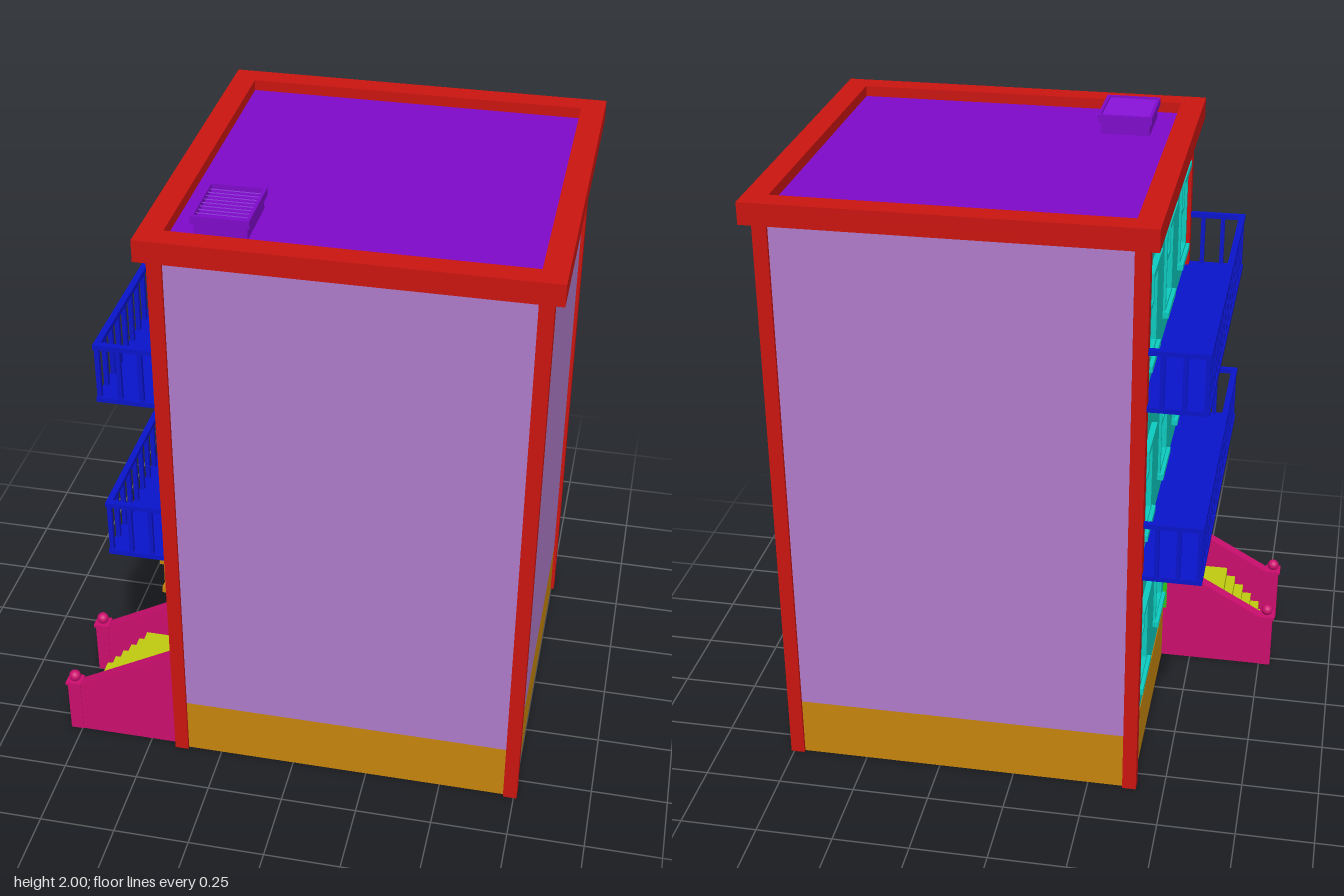
import * as THREE from 'three';

const mat = (color) => new THREE.MeshStandardMaterial({ color, side: THREE.DoubleSide });
const M = {
  wall: mat(0xb07ccc), red: mat(0xcc1510), base: mat(0xc8860c), blue: mat(0x0a14cc), roof: mat(0x800acc),
  pink: mat(0xcc0e6e), step: mat(0xc0cc10), door: mat(0x28cc10), facade: mat(0x0cccc0),
};

function add(parent, name, geo, material, x = 0, y = 0, z = 0) {
  const m = new THREE.Mesh(geo, material);
  m.name = name;
  m.position.set(x, y, z);
  parent.add(m);
  return m;
}

// Box given by its limits on each axis
function box(parent, name, material, [x0, x1], [y0, y1], [z0, z1]) {
  return add(parent, name, new THREE.BoxGeometry(x1 - x0, y1 - y0, z1 - z0), material,
    (x0 + x1) / 2, (y0 + y1) / 2, (z0 + z1) / 2);
}

function rect(Type, x0, x1, y0, y1) {
  return new Type([[x0, y0], [x1, y0], [x1, y1], [x0, y1]].map(([x, y]) => new THREE.Vector2(x, y)));
}

function group(parent, name) {
  const g = new THREE.Group();
  g.name = name;
  parent.add(g);
  return g;
}

// Flat frame: a rectangle with an inner rectangle cut out
function frame(parent, name, material, [x0, x1], [y0, y1], t, z, depth) {
  const s = rect(THREE.Shape, x0, x1, y0, y1);
  s.holes.push(rect(THREE.Path, x0 + t, x1 - t, y0 + t, y1 - t));
  return add(parent, name, new THREE.ExtrudeGeometry(s, { depth, bevelEnabled: false }), material, 0, 0, z);
}

// Sash window with head and sill, around u, v on the street wall
function addWindow(parent, u, v) {
  const g = group(parent, 'window');
  g.position.set(u, v, 0);
  frame(g, 'windowFrame', M.facade, [-0.09, 0.09], [-0.145, 0.145], 0.018, -0.015, 0.023);
  frame(g, 'upperSash', M.facade, [-0.072, 0.072], [-0.005, 0.127], 0.014, -0.01, 0.01);
  frame(g, 'lowerSash', M.facade, [-0.072, 0.072], [-0.127, 0.009], 0.014, -0.018, 0.01);
  add(g, 'pane', new THREE.PlaneGeometry(0.144, 0.254), M.facade, 0, 0, -0.014);
  box(g, 'windowHead', M.facade, [-0.1, 0.1], [0.138, 0.158], [0, 0.018]);
  box(g, 'windowSill', M.facade, [-0.1, 0.1], [-0.158, -0.138], [0, 0.02]);
}

function addBalcony(parent, y) {
  const g = group(parent, 'balcony');
  g.position.y = y;
  const W = 0.577, D = 0.2, t = 0.014;
  box(g, 'balconyFloor', M.blue, [-W, W], [0, 0.016], [0, D]);
  box(g, 'frontRail', M.blue, [-W, W], [0.184, 0.2], [D - 0.02, D]);
  for (const s of [-1, 1]) {
    const x = s * (W - 0.01);
    box(g, 'sideRail', M.blue, [x - 0.01, x + 0.01], [0.184, 0.2], [0, D - 0.02]);
    for (const z of [0.058, 0.125])
      box(g, 'sideBaluster', M.blue, [x - t / 2, x + t / 2], [0.016, 0.184], [z - t / 2, z + t / 2]);
  }
  for (let i = 0; i <= 17; i++) {
    const x = (W - 0.01) * (i / 8.5 - 1);
    box(g, 'frontBaluster', M.blue, [x - t / 2, x + t / 2], [0.016, 0.184], [D - 0.01 - t / 2, D - 0.01 + t / 2]);
  }
}

function addStairs(parent) {
  const g = group(parent, 'stairs');
  const u = [0.25, 0.52], n = 6, rise = 0.2 / n, run = 0.031, front = 0.36;
  for (let i = 0; i < n; i++) {
    const z = front - i * run, y = (i + 1) * rise;
    box(g, 'riser', M.step, u, [y - rise, y], [z - 0.006, z]);
    box(g, i < n - 1 ? 'tread' : 'landing', M.step, u, [y - 0.006, y], [i < n - 1 ? z - run : 0, z]);
  }
  // Sloping side walls with newel caps and balls
  const side = new THREE.Shape([[0, 0], [0.392, 0], [0.392, 0.2], [0.345, 0.2], [0.015, 0.385], [0, 0.385]]
    .map(([a, b]) => new THREE.Vector2(a, b)));
  for (const c of [0.23, 0.54]) {
    const wall = add(g, 'stairSideWall', new THREE.ExtrudeGeometry(side, { depth: 0.04, bevelEnabled: false }), M.pink, c + 0.02);
    wall.rotation.y = -Math.PI / 2;
    wall.position.x = c + 0.02;
    box(g, 'newelPost', M.pink, [c - 0.022, c + 0.022], [0, 0.193], [0.35, 0.394]);
    box(g, 'newelCap', M.pink, [c - 0.026, c + 0.026], [0.193, 0.203], [0.347, 0.4]);
    add(g, 'newelBall', new THREE.SphereGeometry(0.02, 16, 12), M.pink, c, 0.22, 0.373);
  }
}

function addDoor(parent) {
  const g = group(parent, 'entrance');
  const mid = 0.385;
  frame(g, 'doorFrame', M.door, [0.24, 0.53], [0.2, 0.665], 0.03, -0.02, 0.035);
  box(g, 'doorLeaf', M.door, [0.27, 0.5], [0.2, 0.635], [-0.025, -0.012]);
  for (const [y0, y1] of [[0.23, 0.345], [0.37, 0.485], [0.51, 0.615]])
    for (const z of [-0.03, -0.012])
      frame(g, 'doorPanel', M.door, [mid - 0.085, mid + 0.085], [y0, y1], 0.014, z, 0.007);
  add(g, 'doorKnob', new THREE.SphereGeometry(0.01, 12, 8), M.door, 0.483, 0.425, 0);
  for (const c of [0.225, 0.545])
    box(g, 'doorPilaster', M.door, [c - 0.015, c + 0.015], [0.2, 0.66], [0, 0.015]);
  // Entablature over the door
  box(g, 'doorHead', M.base, [0.21, 0.56], [0.68, 0.775], [0, 0.025]);
  box(g, 'doorHeadMoulding', M.base, [0.205, 0.565], [0.66, 0.68], [0, 0.033]);
  box(g, 'doorCornice', M.base, [0.205, 0.565], [0.775, 0.798], [0, 0.036]);
}

function addVent(parent) {
  const g = group(parent, 'roofVent');
  g.position.set(-0.213, 1.935, 0.385);
  box(g, 'ventBody', M.roof, [-0.08, 0.08], [0, 0.045], [-0.1, 0.1]);
  const rim = frame(g, 'ventRim', M.roof, [-0.088, 0.088], [-0.11, 0.11], 0.01, 0, 0.025);
  rim.rotation.x = -Math.PI / 2;
  rim.position.y = 0.04;
  for (let i = 0; i < 9; i++) {
    const slat = add(g, 'ventSlat', new THREE.BoxGeometry(0.156, 0.003, 0.022), M.roof, 0, 0.054, -0.088 + i * 0.022);
    slat.rotation.x = -0.45;
  }
}

export function createModel() {
  const model = new THREE.Group();
  model.name = 'townhouse';
  const cx = 0.175, H = 1.9;

  // Plain walls with a base band, open underneath
  for (const s of [-1, 1]) {
    const z = [s * 0.57 - 0.004, s * 0.57 + 0.004];
    box(model, 'sideWall', M.wall, [-0.39, 0.74], [0.2, H], z);
    box(model, 'sideBase', M.base, [-0.39, 0.74], [0, 0.2], z);
  }
  box(model, 'rearWall', M.wall, [0.741, 0.749], [0.2, H], [-0.565, 0.565]);
  box(model, 'rearBase', M.base, [0.741, 0.749], [0, 0.2], [-0.565, 0.565]);

  // Corner posts
  for (const x of [-0.3875, 0.7375]) for (const z of [-0.5625, 0.5625])
    box(model, 'cornerPost', M.red, [x - 0.0225, x + 0.0225], [0, H], [z - 0.0225, z + 0.0225]);

  // Roof deck inside a raised cornice
  const cornice = frame(model, 'cornice', M.red, [cx - 0.615, cx + 0.615], [-0.617, 0.617], 0.075, 0, 0.07);
  cornice.rotation.x = -Math.PI / 2;
  cornice.position.y = H;
  box(model, 'roofDeck', M.roof, [cx - 0.545, cx + 0.545], [1.925, 1.935], [-0.547, 0.547]);
  addVent(model);

  // Street side: local x runs along the wall, local z points outward
  const street = group(model, 'streetSide');
  street.rotation.y = -Math.PI / 2;
  street.position.x = -0.395;
  const wall = rect(THREE.Shape, -0.56, 0.56, 0.2, H);
  const spots = [];
  for (const v of [0.475, 1.05, 1.63]) for (const u of [-0.4, 0, 0.4])
    if (v > 1 || u < 0.3) spots.push([u, v]);
  for (const [u, v] of spots) {
    wall.holes.push(rect(THREE.Path, u - 0.075, u + 0.075, v - 0.13, v + 0.13));
    addWindow(street, u, v);
  }
  wall.holes.push(rect(THREE.Path, 0.265, 0.505, 0.205, 0.64));
  add(street, 'streetWall', new THREE.ExtrudeGeometry(wall, { depth: 0.008, bevelEnabled: false }), M.facade, 0, 0, -0.008);
  box(street, 'streetBase', M.base, [-0.56, 0.56], [0, 0.2], [-0.008, 0.002]);
  addDoor(street);
  addStairs(street);
  for (const y of [0.8, 1.38]) addBalcony(street, y);

  return model;
}
